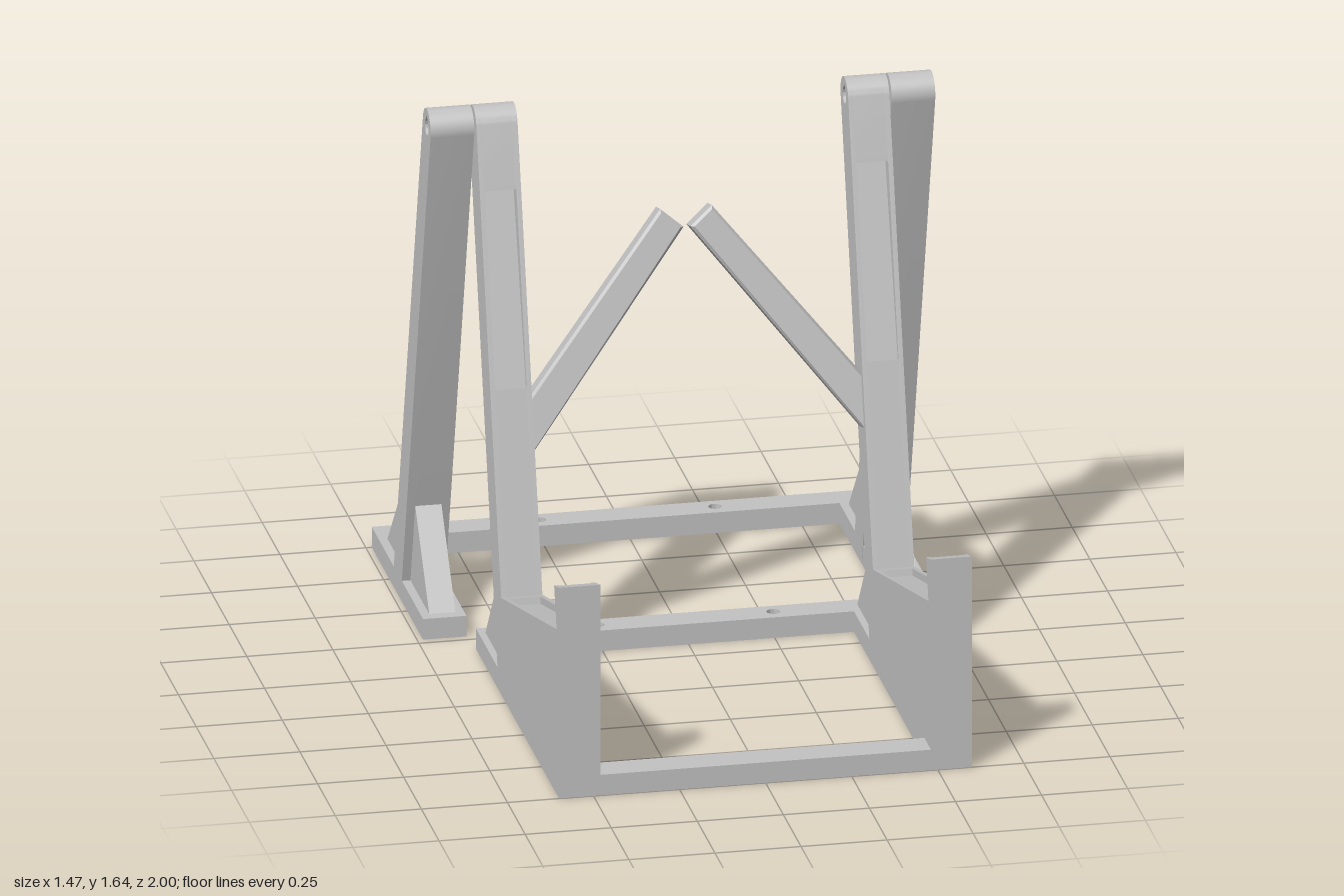
import * as THREE from 'three';
import { toCreasedNormals } from 'three/addons/utils/BufferGeometryUtils.js';

const TILT = THREE.MathUtils.degToRad(15);
const SIN = Math.sin(TILT), COS = Math.cos(TILT);
const PIVOT = { z: -0.223, y: 1.59 };
const R = 0.055;      // half thickness of a leg
const BASE = 0.063;   // height of the floor frames

export function createModel() {
  const model = new THREE.Group();
  model.name = 'foldingStand';
  const grey = new THREE.MeshStandardMaterial({ color: 0xc2c2c2 });
  grey.name = 'plain grey';

  const makeShape = pts => new THREE.Shape(pts.map(p => new THREE.Vector2(p[0], p[1])));
  const extrude = (shape, depth) =>
    new THREE.ExtrudeGeometry(shape, { depth, bevelEnabled: false, curveSegments: 16 });

  function add(parent, name, geometry) {
    const mesh = new THREE.Mesh(toCreasedNormals(geometry, 0.5), grey);
    mesh.name = name;
    parent.add(mesh);
    return mesh;
  }

  // Side profile in (z, y), extruded across x from x0 to x1
  function slab(parent, name, pts, x0, x1, hole) {
    const shape = makeShape(pts);
    if (hole) shape.holes.push(hole);
    const geometry = extrude(shape, x1 - x0);
    geometry.rotateY(-Math.PI / 2);
    geometry.translate(x1, 0, 0);
    return add(parent, name, geometry);
  }

  // Solid outer cheeks around a core that has a pocket cut into its profile
  function pocketed(parent, name, plain, notched, x0, x1, rim, hole) {
    const group = new THREE.Group();
    group.name = name;
    slab(group, name + 'Cheek', plain, x0, x0 + rim, hole);
    slab(group, name + 'Core', notched, x0 + rim, x1 - rim, hole);
    slab(group, name + 'Cheek', plain, x1 - rim, x1, hole);
    parent.add(group);
  }

  // Point on a leg: s down from the pivot, t out from its centre line
  const legPoint = (k, s, t) =>
    [PIVOT.z + k * (s * SIN + t * COS), PIVOT.y - s * COS + t * SIN];

  function legProfile(k, notch) {
    const pts = [];
    for (let i = 0; i <= 20; i++) {
      const a = Math.PI * i / 20;
      pts.push(legPoint(k, -R * Math.sin(a), R * Math.cos(a)));
    }
    for (const t of [-R, R]) pts.push(legPoint(k, (PIVOT.y + t * SIN - 0.02) / COS, t));
    for (const [s, t] of notch) pts.push(legPoint(k, s, t));
    return pts;
  }

  // Teardrop pin hole at the top of the legs
  const pinHole = new THREE.Path();
  pinHole.absarc(PIVOT.z, PIVOT.y, 0.024, Math.PI * 0.75, Math.PI * 2.25, false);
  pinHole.lineTo(PIVOT.z, PIVOT.y + 0.024 * Math.SQRT2);
  pinHole.closePath();

  const circleHole = (x, z, r) => {
    const path = new THREE.Path();
    path.absarc(x, -z, r, 0, Math.PI * 2, true);
    return path;
  };

  // Floor frame from an (x, z) outline; flipped points run anticlockwise
  function floorFrame(name, outline, opening, boltZ) {
    const flip = pts => pts.map(([x, z]) => [x, -z]).reverse();
    const shape = makeShape(flip(outline));
    if (opening) shape.holes.push(makeShape(flip(opening)));
    for (const x of [-0.255, 0.255]) shape.holes.push(circleHole(x, boltZ, 0.019));
    const geometry = extrude(shape, BASE);
    geometry.rotateX(-Math.PI / 2);
    add(model, name, geometry);
  }
  const rect = (x, z0, z1) => [[-x, z0], [x, z0], [x, z1], [-x, z1]];
  floorFrame('frontFloorFrame', rect(0.6, -0.175, 1), rect(0.48, -0.087, 0.907), -0.132);
  floorFrame('rearFloorFrame', [
    [-0.733, -1], [0.733, -1], [0.733, -0.275], [0.607, -0.275],
    [0.607, -0.911], [-0.607, -0.911], [-0.607, -0.275], [-0.733, -0.275],
  ], null, -0.957);

  // Cradle wall: sloped rest with an upturned lip
  const wall = [[0.14, 0], [1, 0], [1, 0.645], [0.93, 0.625], [0.965, 0.505], [0.18, 0.295]];
  const slopeY = z => 0.295 + (z - 0.18) * 0.2675;
  const wallNotched = [
    [0.14, 0], [1, 0], [1, 0.645],
    // lip pocket, open at the top
    [0.946, 0.63], [0.973, 0.533], [0.957, 0.529],
    [0.965, 0.505],
    // rest pocket
    [0.9, slopeY(0.9)], [0.905, slopeY(0.9) - 0.02],
    [0.225, slopeY(0.22) - 0.02], [0.22, slopeY(0.22)],
    [0.18, 0.295],
  ];

  // Pocket in the front face of the front legs, deeper towards the top
  const legNotch = [[0.76, R], [0.76, R - 0.012], [0.19, R - 0.04], [0.19, R]];

  for (const side of [-1, 1]) {
    const label = side > 0 ? 'left' : 'right';
    const half = new THREE.Group();
    half.name = label + 'Side';
    model.add(half);
    const span = (a, b) => side > 0 ? [a, b] : [-b, -a];

    pocketed(half, 'cradleWall', wall, wallNotched, ...span(0.48, 0.6), 0.014);
    pocketed(half, 'frontLeg', legProfile(1, []), legProfile(1, legNotch),
      ...span(0.48, 0.6), 0.014, pinHole);
    slab(half, 'rearLeg', legProfile(-1, []), ...span(0.606, 0.733), pinHole);

    // Triangular gussets between legs and frames
    slab(half, 'frontLegGusset',
      [[-0.137, BASE], [0.057, 0.32], [0.09, 0.32], [0.15, 0.05], [-0.137, 0.05]],
      ...span(0.5, 0.58));
    slab(half, 'rearLegFrontGusset',
      [[-0.31, BASE], [-0.51, 0.32], [-0.54, 0.32], [-0.6, 0.05], [-0.31, 0.05]],
      ...span(0.632, 0.708));
    slab(half, 'rearLegBackGusset',
      [[-0.9, BASE], [-0.6, 0.4], [-0.57, 0.4], [-0.65, 0.05], [-0.9, 0.05]],
      ...span(0.632, 0.708));

    // Diagonal arm with chamfered edges, lying in the plane of the front legs
    const arm = [[0.5, 0.645], [0.5, 0.803], [0.075, 1.318], [0.01, 1.264]]
      .map(([x, y]) => [side * x, (y - PIVOT.y) / COS]);
    const geometry = new THREE.ExtrudeGeometry(makeShape(arm), {
      depth: 0.06, bevelThickness: 0.008, bevelSize: 0.008, bevelOffset: -0.008, bevelSegments: 1,
    });
    geometry.translate(0, 0, -0.036);
    const mesh = add(half, 'diagonalArm', geometry);
    mesh.rotation.x = -TILT;
    mesh.position.set(0, PIVOT.y, PIVOT.z);
  }
  return model;
}
